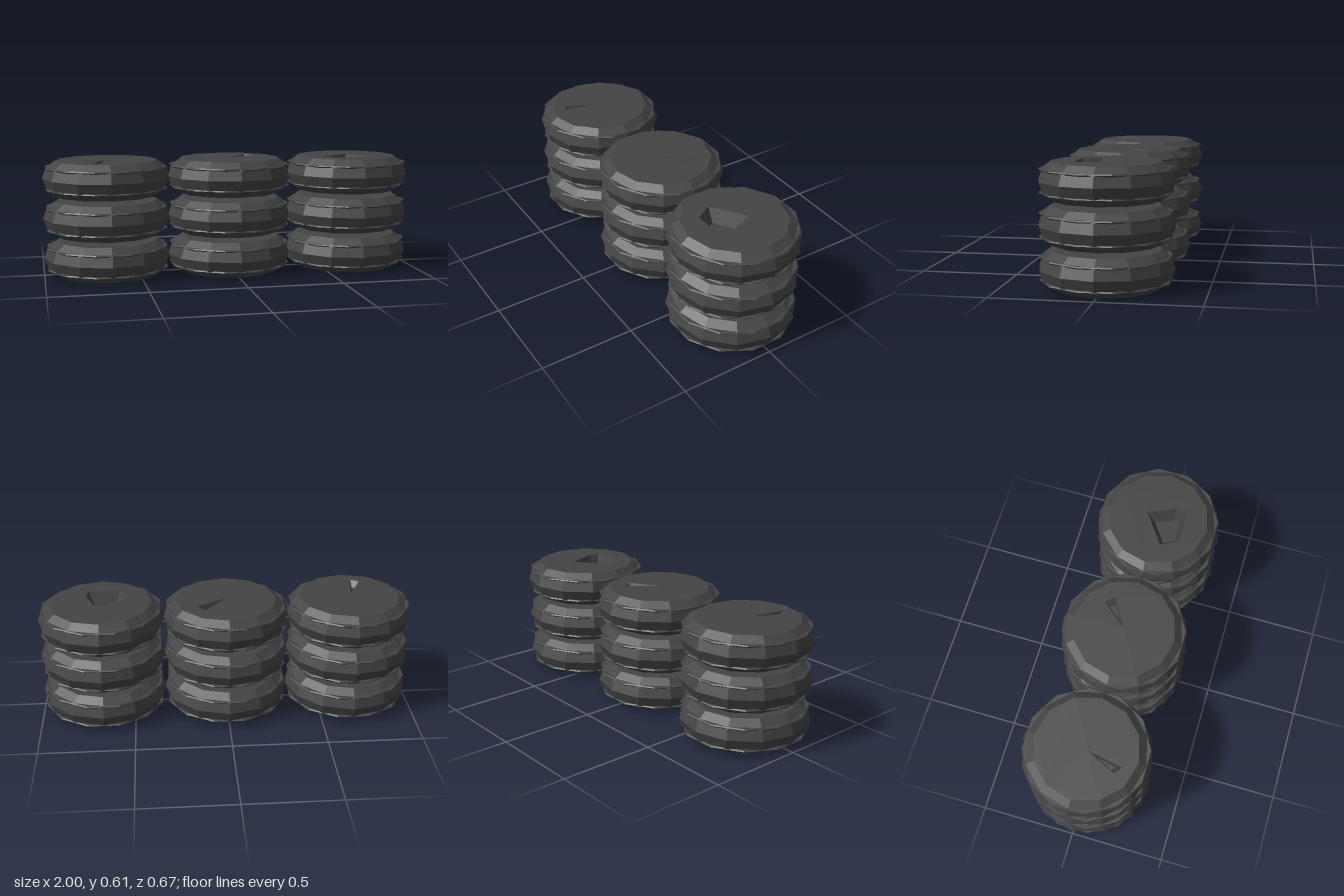
import * as THREE from 'three';

const SIDES = 12;
const HEIGHT = 0.185;
const PITCH = 0.212;
const CAP_RADIUS = 0.27;

const rubber = new THREE.MeshStandardMaterial({
  color: 0x444444, flatShading: true, side: THREE.DoubleSide,
});

function ring(sides, radius) {
  return Array.from({ length: sides }, (_, i) => {
    const a = (i / sides) * Math.PI * 2;
    return [radius * Math.cos(a), radius * Math.sin(a)];
  });
}

function addMesh(parent, geometry, name, y = 0) {
  const mesh = new THREE.Mesh(geometry, rubber);
  mesh.name = name;
  mesh.position.y = y;
  parent.add(mesh);
  return mesh;
}

// Flat polygon facing up; outlines are [x, z] pairs
function flatPolygon(outline, hole) {
  const toPoints = (pts) => pts.map(([x, z]) => new THREE.Vector2(x, -z));
  const shape = new THREE.Shape(toPoints(outline));
  if (hole) shape.holes.push(new THREE.Path(toPoints(hole)));
  return new THREE.ShapeGeometry(shape).rotateX(-Math.PI / 2);
}

// Sloped walls joining a hole in the cap to its smaller floor
function wallGeometry(outer, inner, depth) {
  const positions = [];
  outer.forEach(([ax, az], i) => {
    const j = (i + 1) % outer.length;
    const [bx, bz] = outer[j];
    const [cx, cz] = inner[j];
    const [dx, dz] = inner[i];
    positions.push(ax, 0, az, bx, 0, bz, cx, -depth, cz);
    positions.push(ax, 0, az, cx, -depth, cz, dx, -depth, dz);
  });
  const geometry = new THREE.BufferGeometry();
  geometry.setAttribute('position', new THREE.Float32BufferAttribute(positions, 3));
  geometry.computeVertexNormals();
  return geometry;
}

// Sidewall face, optionally with a recess {outline, depth, taper}
function createCap(name, recess) {
  const cap = new THREE.Group();
  cap.name = name;
  addMesh(cap, flatPolygon(ring(SIDES, CAP_RADIUS), recess?.outline), 'sidewall');
  if (recess) {
    const { outline, depth, taper } = recess;
    const mx = outline.reduce((s, p) => s + p[0], 0) / outline.length;
    const mz = outline.reduce((s, p) => s + p[1], 0) / outline.length;
    const floor = outline.map(([x, z]) => [mx + (x - mx) * taper, mz + (z - mz) * taper]);
    addMesh(cap, wallGeometry(outline, floor, depth), 'recessWall');
    addMesh(cap, flatPolygon(floor), 'recessFloor', -depth);
  }
  return cap;
}

function lathe(points) {
  return new THREE.LatheGeometry(points.map(([r, y]) => new THREE.Vector2(r, y)), SIDES);
}

function createTyre(topRecess, bottomRecess) {
  const tyre = new THREE.Group();
  tyre.name = 'tyre';

  // Bulging tread with bevelled shoulders
  addMesh(tyre, lathe([
    [CAP_RADIUS, 0], [0.312, 0.032], [0.317, 0.04], [0.336, 0.093],
    [0.317, 0.146], [0.312, 0.153], [CAP_RADIUS, HEIGHT],
  ]), 'tread');

  // Thin ribs around both shoulders, turned half a facet
  for (const y of [0.036, 0.149]) {
    const rib = addMesh(tyre, lathe([
      [0.3, -0.005], [0.322, -0.006], [0.327, 0], [0.322, 0.006], [0.3, 0.005],
    ]), 'shoulderRib', y);
    rib.rotation.y = Math.PI / SIDES;
  }

  const top = createCap('topSidewall', topRecess);
  top.position.y = HEIGHT;
  const bottom = createCap('bottomSidewall', bottomRecess);
  bottom.rotation.x = Math.PI;
  tyre.add(top, bottom);
  return tyre;
}

export function createModel() {
  const model = new THREE.Group();
  model.name = 'tyreStacks';

  // Recesses in the exposed faces of each stack
  const stacks = [
    { x: -0.664,
      top: { outline: [[-0.01, 0.01], [-0.085, 0.17], [-0.045, 0.2]], depth: 0.03, taper: 0.5 } },
    { x: 0,
      top: { outline: [[0.0, 0.0], [0.16, -0.09], [0.115, -0.14]], depth: 0.03, taper: 0.5 },
      bottom: { outline: [[0.03, -0.17], [-0.09, -0.05], [-0.12, -0.19]], depth: 0.04, taper: 0.5 } },
    { x: 0.664,
      top: { outline: [[-0.15, 0.05], [-0.1, 0.14], [0.07, 0.14], [0.08, 0.08], [0.02, -0.07]], depth: 0.07, taper: 0.65 },
      bottom: { outline: ring(6, 0.16), depth: 0.07, taper: 0.6 } },
  ];

  for (const { x, top, bottom } of stacks) {
    const stack = new THREE.Group();
    stack.name = 'tyreStack';
    stack.position.x = x;
    for (let level = 0; level < 3; level++) {
      const tyre = createTyre(level === 2 ? top : undefined, level === 0 ? bottom : undefined);
      tyre.position.y = level * PITCH;
      stack.add(tyre);
    }
    model.add(stack);
  }
  return model;
}
